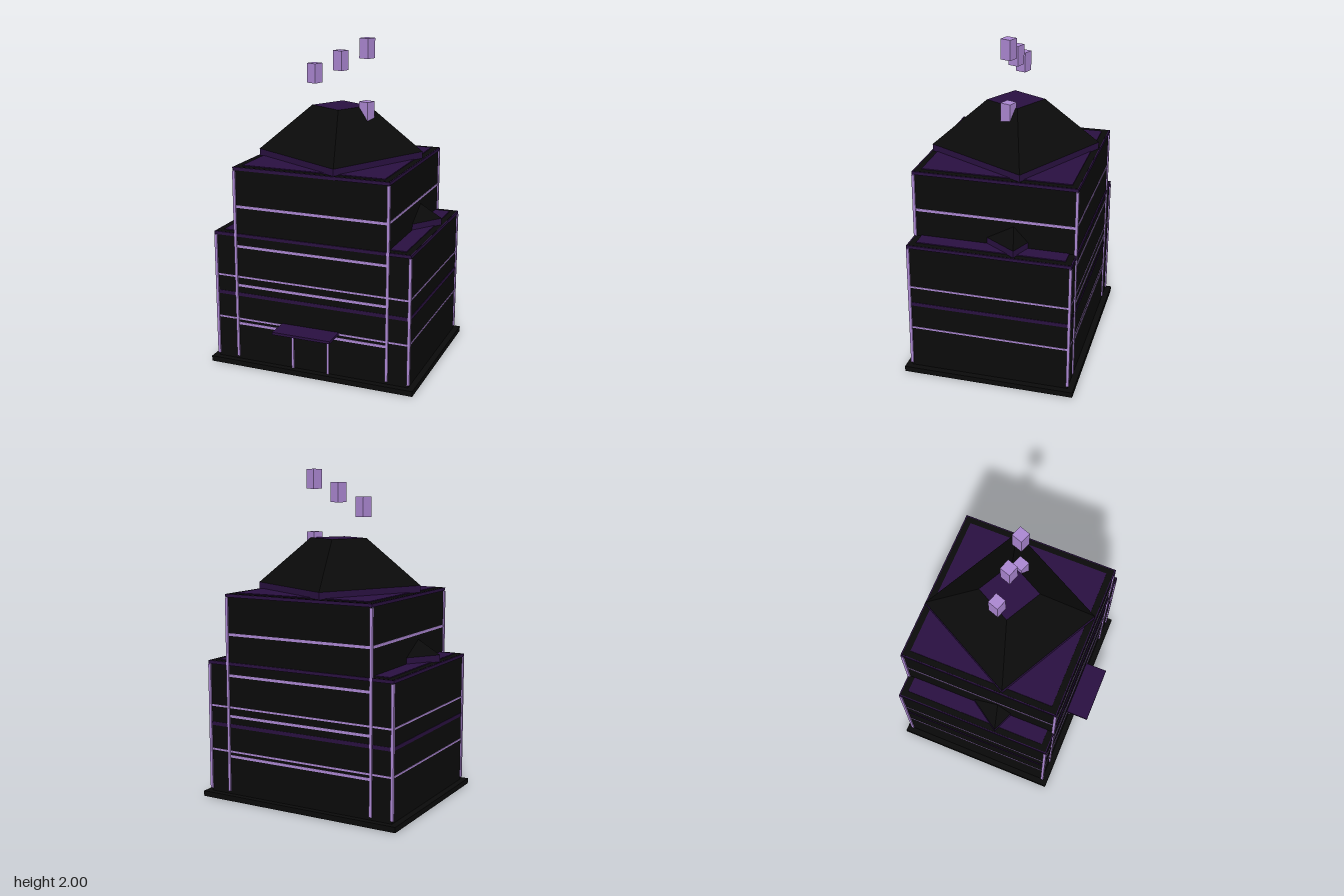
import * as THREE from 'three';

const mat = (name, color, flat = false) => {
  const m = new THREE.MeshStandardMaterial({ color, flatShading: flat });
  m.name = name;
  return m;
};

export function createModel() {
  const black = mat('black stone', 0x0a0a0a, true);
  const purple = mat('dark purple', 0x291040, true);
  const lilac = mat('lilac trim', 0xaa86d0, true);

  const root = new THREE.Group();
  root.name = 'tower';
  const building = new THREE.Group();
  building.name = 'building';
  building.position.z = -0.055;
  root.add(building);

  const add = (name, geo, material, x, y, z) => {
    const m = new THREE.Mesh(geo, material);
    m.name = name;
    m.position.set(x, y, z);
    building.add(m);
    return m;
  };
  // Box given by its bottom and top heights
  const box = (name, w, d, y0, y1, material, x = 0, z = 0) =>
    add(name, new THREE.BoxGeometry(w, y1 - y0, d), material, x, (y0 + y1) / 2, z);

  const DEPTH = 0.97;
  box('plinth', 1.32, 1.045, 0, 0.033, black);

  // A block with corner posts, trim bands, cornice, roof plate and twisted hip roof
  function block(name, half, top, bands, bandH) {
    box(name + 'Body', half * 2, DEPTH, 0.03, top, black);
    box(name + 'Cornice', half * 2 + 0.014, DEPTH + 0.014, top - 0.02, top - 0.001, purple);
    box(name + 'RoofPlate', half * 2 - 0.076, DEPTH - 0.076, top, top + 0.005, purple);
    for (const y of bands)
      box(name + 'Band', half * 2 + 0.006, DEPTH + 0.006, y - bandH / 2, y + bandH / 2, lilac);
    for (const sx of [-1, 1])
      for (const sz of [-1, 1])
        box(name + 'CornerPost', 0.017, 0.017, 0.05, top - 0.023, lilac, sx * half, sz * DEPTH / 2);

    const stretch = half / 0.487;
    const eaves = add(name + 'Eaves', new THREE.CylinderGeometry(0.505, 0.505, 0.042, 4, 1, false, 0.3),
      purple, 0, top + 0.021, 0);
    const roof = add(name + 'Roof', new THREE.CylinderGeometry(0.174, 0.505, 0.28, 4, 1, false, 0.3),
      [black, purple, black], 0, top + 0.182, 0);
    eaves.scale.x = roof.scale.x = stretch;
  }
  block('wing', 0.622, 0.852, [0.3, 0.575], 0.011);
  block('tower', 0.487, 1.264, [0.27, 0.52, 0.77, 1.02], 0.016);

  // Middle storey band
  box('storeyBand', 1.25, DEPTH + 0.005, 0.45, 0.472, purple);

  // Entrance
  box('canopy', 0.37, 0.15, 0.296, 0.312, purple, 0, 0.555);
  for (const s of [-1, 1]) box('doorPost', 0.014, 0.014, 0.033, 0.265, lilac, s * 0.115, 0.487);

  // Floating blocks above the roof and one set into it
  for (const [x, y] of [[-0.172, 1.775], [0, 1.86], [0.17, 1.94], [0.17, 1.56]]) {
    const b = add('floatingBlock', new THREE.BoxGeometry(0.067, 0.12, 0.067), lilac, x, y, 0);
    b.rotation.y = -0.33;
  }
  return root;
}
